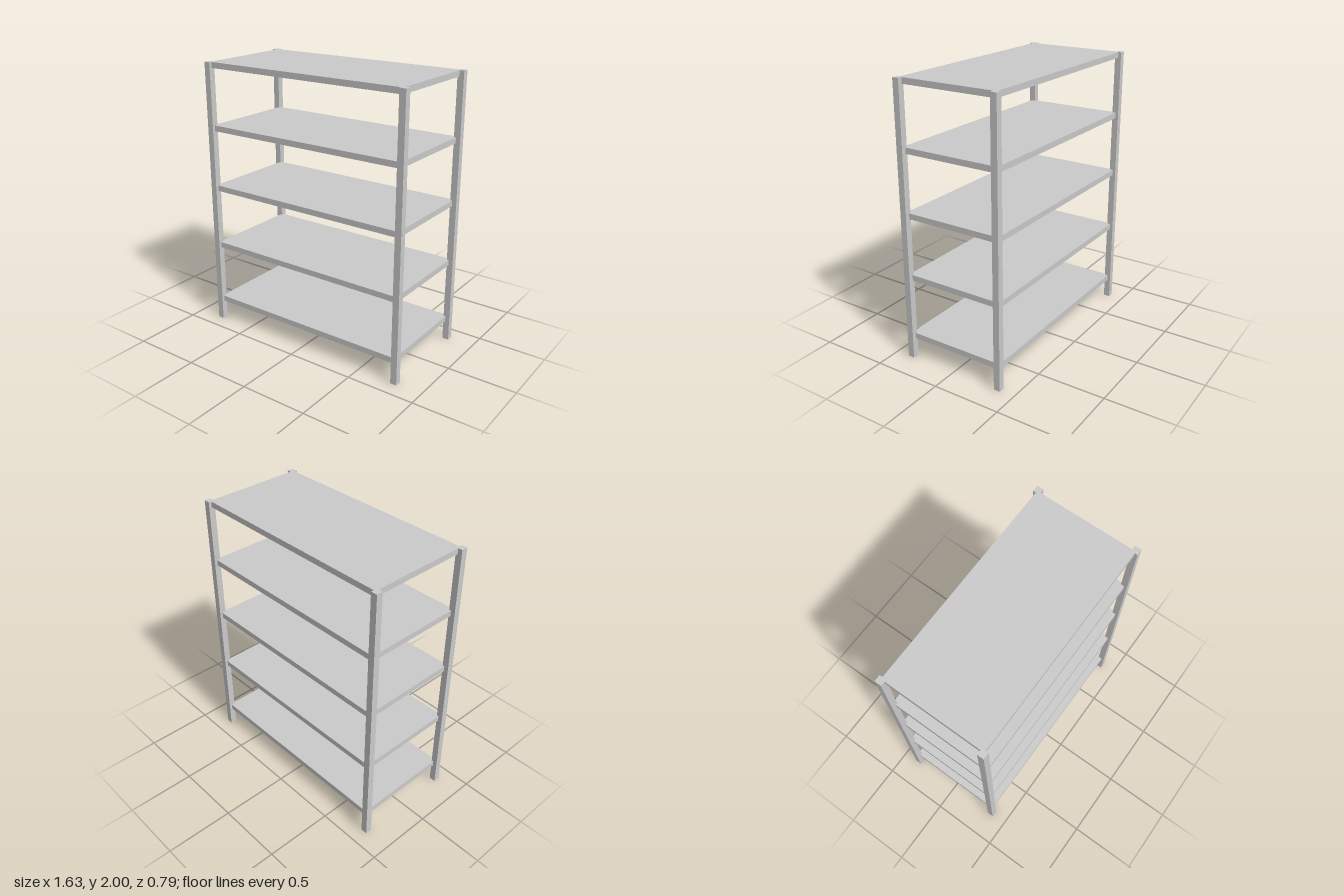
import * as THREE from 'three';

export function createModel() {
  const group = new THREE.Group();
  const material = new THREE.MeshStandardMaterial({ color: 0xcccccc });

  const addBox = (name, w, h, d, x, y, z) => {
    const mesh = new THREE.Mesh(new THREE.BoxGeometry(w, h, d), material);
    mesh.name = name;
    mesh.position.set(x, y, z);
    group.add(mesh);
  };

  const height = 2, halfWidth = 0.815, halfDepth = 0.393, post = 0.047;

  // four square corner posts
  for (const sx of [-1, 1]) {
    for (const sz of [-1, 1]) {
      const name = (sz > 0 ? 'front' : 'back') + (sx > 0 ? 'Left' : 'Right') + 'Post';
      addBox(name, post, height, post,
        sx * (halfWidth - post / 2), height / 2, sz * (halfDepth - post / 2));
    }
  }

  // five evenly spaced shelves, the top one flush with the posts
  const thickness = 0.042, spacing = 0.4535;
  for (let i = 0; i < 5; i++) {
    addBox(`shelf${5 - i}`, 1.566, thickness, 0.744,
      0, height - thickness / 2 - i * spacing, 0);
  }

  return group;
}
